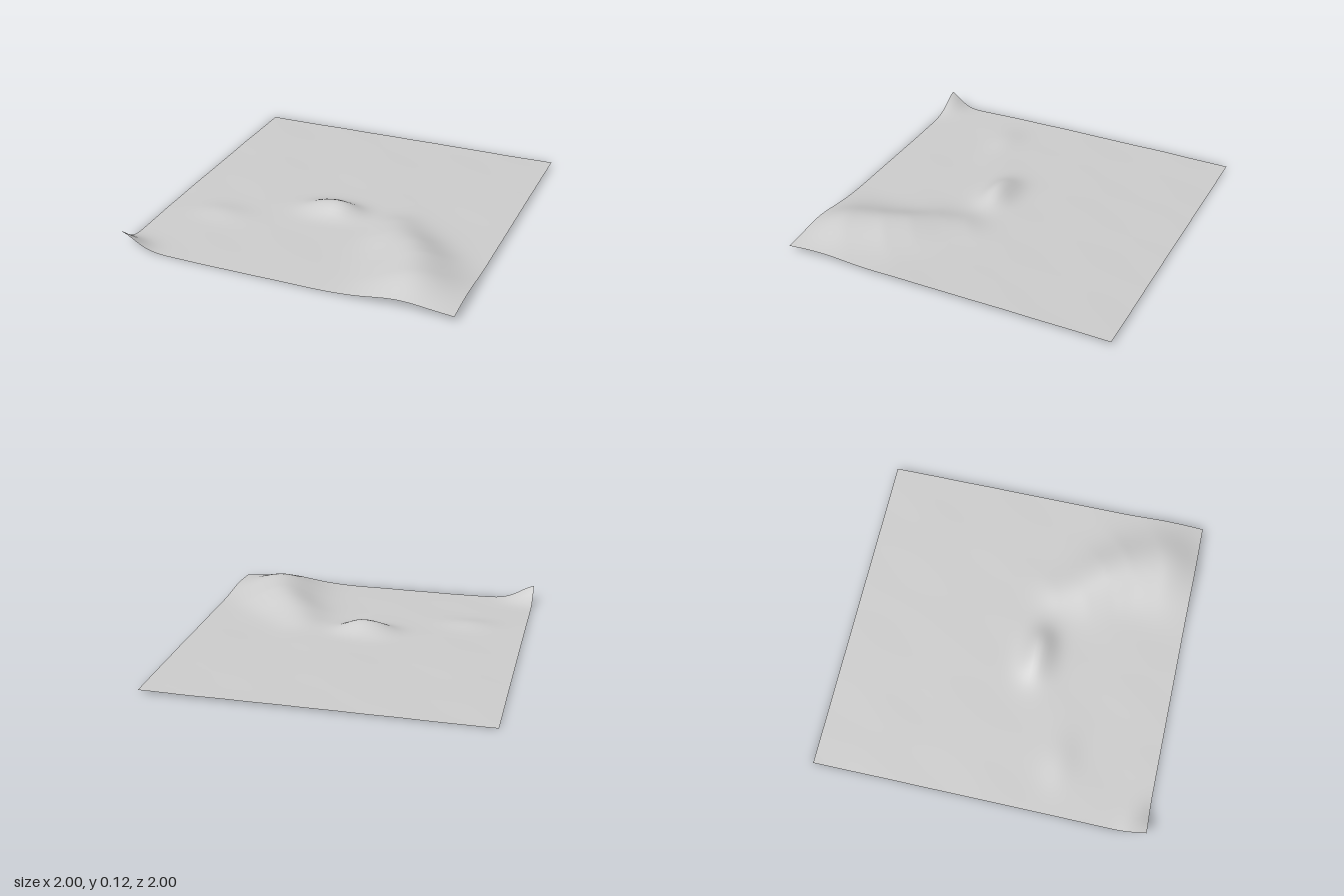
import * as THREE from 'three';

const bell = (x, z, cx, cz, wx, wz) => Math.exp(-(((x - cx) / wx) ** 2) - ((z - cz) / wz) ** 2);

// Crest of the curved ridge: x, z, height, half width
const crest = [
  [0.40, 0.23, 0.036, 0.14],
  [0.47, 0.36, 0.060, 0.17],
  [0.56, 0.48, 0.085, 0.18],
  [0.63, 0.60, 0.098, 0.20],
  [0.69, 0.78, 0.100, 0.23],
];

// Height of the ridge: the strongest bell along the crest line
function ridge(x, z) {
  let best = 0;
  for (let i = 0; i < crest.length - 1; i++) {
    for (let s = 0; s <= 8; s++) {
      const [cx, cz, h, w] = crest[i].map((v, k) => THREE.MathUtils.lerp(v, crest[i + 1][k], s / 8));
      best = Math.max(best, h * bell(x, z, cx, cz, w, w));
    }
  }
  return best;
}

function heightAt(x, z) {
  // Gently tilted ground with faint ripples
  let y = 0.017 + 0.008 * x + 0.007 * (1 - z * z) - 0.004 * Math.max(0, z) ** 2;
  y += 0.0012 * Math.sin(7 * x + 3 * z) * Math.cos(8 * z - 2 * x);
  y += 0.0008 * Math.sin(15 * x - 5 * z + 1) * Math.sin(13 * z + 4 * x);
  // Central hill, a little longer in x than in z
  y += 0.052 * bell(x, z, -0.10, 0.16, 0.13, 0.10) + 0.045 * bell(x, z, 0.03, 0.16, 0.11, 0.09);
  // Ridge on the front left
  y += ridge(x, z);
  // Small mound and raised corner on the front right
  y += 0.016 * bell(x, z, -0.66, 0.43, 0.16, 0.10);
  y += 0.115 * bell(x, z, -1.02, 1.03, 0.15, 0.11);
  // Low rise along the outer front edge
  y += 0.010 * bell(x, z, 1, 0.9, 0.2, 0.3);
  return y;
}

export function createModel() {
  const group = new THREE.Group();
  group.name = 'landscape';

  const geometry = new THREE.PlaneGeometry(2, 2, 72, 72).rotateX(-Math.PI / 2);
  const pos = geometry.attributes.position;
  for (let i = 0; i < pos.count; i++) pos.setY(i, heightAt(pos.getX(i), pos.getZ(i)));

  // Rest the lowest point on the floor
  geometry.computeBoundingBox();
  geometry.translate(0, -geometry.boundingBox.min.y + 0.002, 0);
  geometry.computeVertexNormals();

  const grey = new THREE.MeshStandardMaterial({ color: 0xcccccc, side: THREE.DoubleSide });
  grey.name = 'light grey';
  const terrain = new THREE.Mesh(geometry, grey);
  terrain.name = 'terrain';
  group.add(terrain);
  return group;
}
